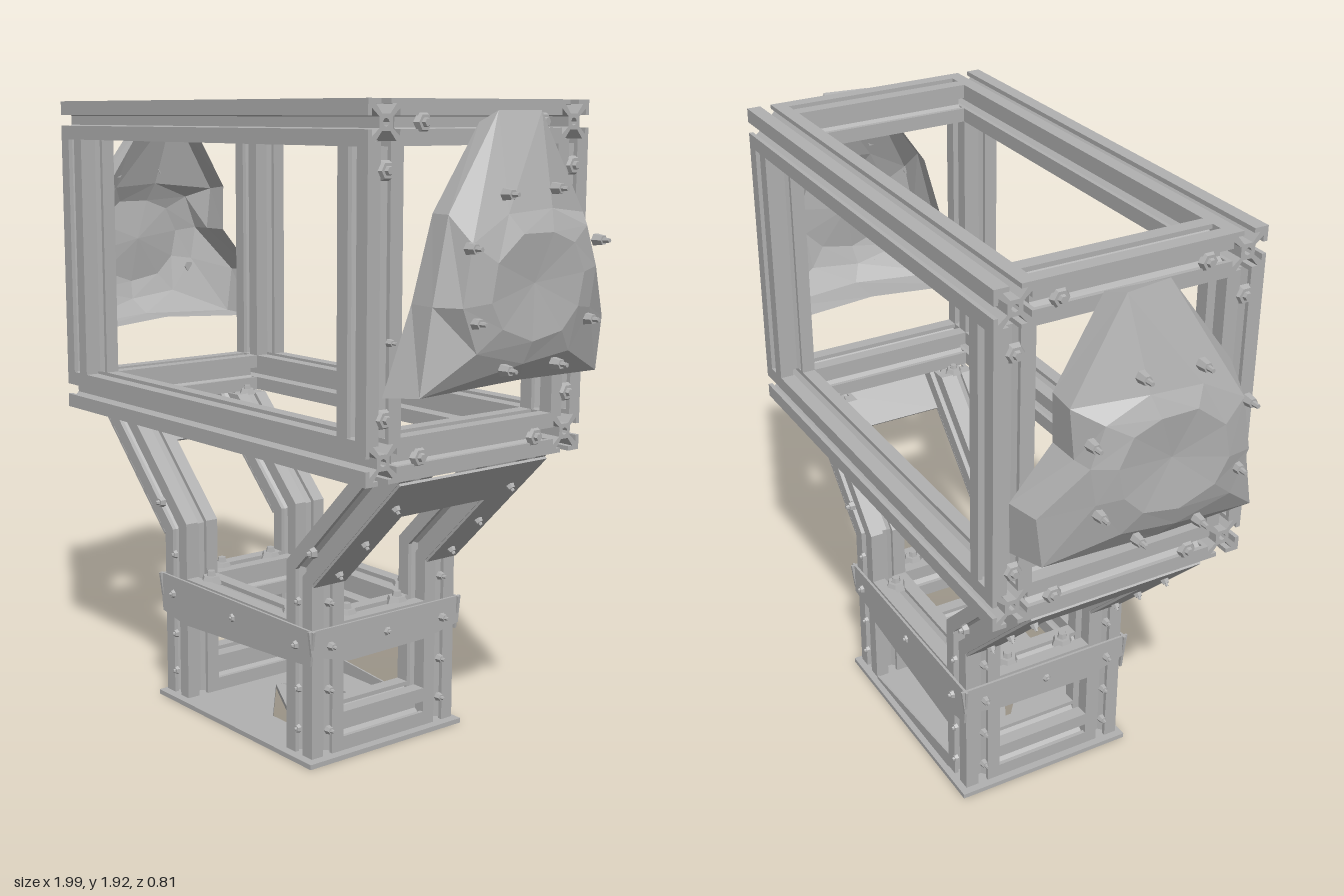
import * as THREE from 'three';

const metal = new THREE.MeshStandardMaterial({ color: 0xb0b0b0, side: THREE.DoubleSide });
metal.name = 'brushed grey metal';

// Slotted square profile, 0.12 wide, one side repeated four times
function slotProfile() {
  const side = [[.06, -.06], [.06, -.017], [.047, -.017], [.047, -.035], [.022, -.014],
    [.022, .014], [.047, .035], [.047, .017], [.06, .017]];
  const pts = [];
  for (let q = 0; q < 4; q++) {
    const c = [1, 0, -1, 0][q], s = [0, 1, 0, -1][q];
    side.forEach(([x, y]) => pts.push(new THREE.Vector2(x * c - y * s, x * s + y * c)));
  }
  const shape = new THREE.Shape(pts);
  shape.holes.push(new THREE.Path().absarc(0, 0, .011, 0, Math.PI * 2, true));
  return shape;
}
const profile = slotProfile();

function add(parent, geo, name) {
  const m = new THREE.Mesh(geo, metal);
  m.name = name;
  parent.add(m);
  return m;
}

// Moves every vertex by a rule returning [x, y, z]
function bend(geo, rule) {
  const p = geo.attributes.position;
  for (let i = 0; i < p.count; i++) p.setXYZ(i, ...rule(p.getX(i), p.getY(i), p.getZ(i)));
  geo.computeVertexNormals();
  return geo;
}

// Straight slotted beam centred on a point
function beam(parent, axis, length, x, y, z, name) {
  const geo = new THREE.ExtrudeGeometry(profile, { depth: length, bevelEnabled: false, curveSegments: 4 });
  geo.translate(0, 0, -length / 2);
  if (axis === 'x') geo.rotateY(Math.PI / 2);
  if (axis === 'y') geo.rotateX(Math.PI / 2);
  add(parent, geo, name).position.set(x, y, z);
}

// Flat plate from outline points, with optional holes
function plateGeo(points, depth, holes = []) {
  const vec = a => a.map(([x, y]) => new THREE.Vector2(x, y));
  const shape = new THREE.Shape(vec(points));
  holes.forEach(h => shape.holes.push(new THREE.Path(vec(h))));
  return new THREE.ExtrudeGeometry(shape, { depth, bevelEnabled: false });
}

// Hex bolt: wide washer head and narrow tip
const UP = new THREE.Vector3(0, 1, 0);
function bolt(parent, pos, dir, r = .016, len = .022) {
  const g = new THREE.Group();
  g.name = 'bolt';
  const head = new THREE.CylinderGeometry(r * .75, r, len * .6, 6);
  const tip = new THREE.CylinderGeometry(r * .35, r * .45, len * .4, 6);
  add(g, head.toNonIndexed(), 'boltHead').position.y = len * .3;
  add(g, tip.toNonIndexed(), 'boltTip').position.y = len * .8;
  g.children.forEach(m => m.geometry.computeVertexNormals());
  g.position.set(...pos);
  g.quaternion.setFromUnitVectors(UP, new THREE.Vector3(...dir).normalize());
  parent.add(g);
}

// Faceted housing on the +x end, lofted through rings of [x, y, z]
function housing() {
  const rings = [
    [[.77, 1.16, .36], [.79, 1.4, .28], [.80, 1.63, .22], [.80, 1.86, .06], [.80, 1.87, -.12],
      [.80, 1.63, -.26], [.79, 1.48, -.25], [.78, 1.33, -.37], [.77, 1.17, -.36], [.78, 1.19, 0]],
    [[.88, 1.17, .33], [.88, 1.4, .29], [.87, 1.63, .23], [.85, 1.89, .04], [.87, 1.89, -.1],
      [.88, 1.62, -.26], [.89, 1.48, -.25], [.88, 1.33, -.35], [.88, 1.18, -.33], [.91, 1.19, 0]],
    [[.95, 1.28, .2], [.95, 1.4, .25], [.95, 1.56, .22], [.945, 1.63, .09], [.945, 1.64, -.07],
      [.95, 1.59, -.2], [.95, 1.48, -.24], [.95, 1.37, -.22], [.95, 1.26, -.14], [.95, 1.24, .03]],
    [[.972, 1.34, .13], [.972, 1.41, .17], [.972, 1.51, .15], [.972, 1.58, .06], [.972, 1.58, -.05],
      [.972, 1.55, -.13], [.972, 1.47, -.17], [.972, 1.38, -.15], [.972, 1.32, -.09], [.972, 1.30, .02]],
    Array.from({ length: 10 }, () => [.955, 1.45, 0])
  ];
  const v = [], n = 10;
  for (let r = 0; r < rings.length - 1; r++) {
    for (let i = 0; i < n; i++) {
      const j = (i + 1) % n, a = rings[r], b = rings[r + 1];
      v.push(...a[i], ...b[i], ...a[j]);
      if (r < rings.length - 2) v.push(...a[j], ...b[i], ...b[j]);
    }
  }
  // Wind every triangle so its front looks outward
  for (let k = 0; k < v.length; k += 9) {
    for (let c = 0; c < 3; c++) [v[k + 3 + c], v[k + 6 + c]] = [v[k + 6 + c], v[k + 3 + c]];
  }
  const geo = new THREE.BufferGeometry();
  geo.setAttribute('position', new THREE.Float32BufferAttribute(v, 3));
  geo.computeVertexNormals();
  return geo;
}

// Everything on the +x side, mirrored for the other
function sideAssembly(name) {
  const g = new THREE.Group();
  g.name = name;
  beam(g, 'z', .57, .70, 1.86, 0, 'topCrossBeam');
  beam(g, 'z', .57, .70, .985, 0, 'lowerCrossBeam');
  beam(g, 'z', .32, .32, .36, 0, 'baseCrossBeam');
  beam(g, 'z', .32, .32, .08, 0, 'floorCrossBeam');

  for (const s of [-1, 1]) {
    beam(g, 'y', .755, .70, 1.4225, s * .345, 'upright');

    // Leg: vertical, then mitred outward at 45 degrees
    const leg = new THREE.ExtrudeGeometry(profile, { depth: 2, steps: 2, bevelEnabled: false, curveSegments: 4 });
    bend(leg, (u, w, t) => {
      const yBend = .575 - .414 * u;
      if (t < .5) return [.32 + u, .02, s * .22 - w];
      if (t < 1.5) return [.32 + u, yBend, s * .22 - w];
      return [.32 + u + .925 - yBend, .925, s * .22 - w];
    });
    add(g, leg, 'leg');

    // Leg bolts
    for (const y of [.1, .225, .36, .49]) {
      const out = y === .36 ? .012 : 0;
      bolt(g, [.38 + out, y, s * .22], [1, 0, 0], .014, .03);
      bolt(g, [.32, y, s * (.28 + out)], [0, 0, s], .014, .018);
    }
    bolt(g, [.39, .65, s * .28], [0, 0, s], .018, .028);
    for (const d of [.06, .22, .40]) {
      bolt(g, [.386 + d * .707, .544 + d * .707, s * .22], [1, -1, 0], .014, .022);
    }
    // Corner bolts on the box ends, inside corners and base ring
    for (const y of [.985, 1.86]) bolt(g, [.755, y, s * .22], [1, 0, 0], .03, .025);
    for (const y of [1.10, 1.74]) bolt(g, [.755, y, s * .345], [1, 0, 0], .03, .025);
    bolt(g, [.21, .41, s * .22], [0, 1, 0], .036, .04);
    bolt(g, [.32, .41, s * .1], [0, 1, 0], .036, .04);
    bolt(g, [.61, .92, s * .22], [0, 1, 0], .03, .03);
  }

  // Slanted gusset under the legs
  const gusset = plateGeo([[-.28, 0], [-.16, 0], [-.16, .34], [.16, .34], [.16, 0], [.28, 0],
    [.28, .52], [-.28, .52]], .008);
  bend(gusset, (a, b, c) => [.381 + (b + c) * .707, .55 + (b - c) * .707, -a]);
  add(g, gusset, 'legGusset');

  // Side band around the base
  const band = plateGeo([[-.3, .415], [-.29, .34], [-.15, .3], [.15, .305], [.29, .33], [.3, .415]], .008);
  band.rotateY(Math.PI / 2);
  add(g, band, 'sideBand').position.x = .384;
  bolt(g, [.392, .36, 0], [1, 0, 0], .014, .015);

  // Housing with its ring of bolts
  add(g, housing(), 'endHousing');
  [[1.55, .23], [1.68, .09], [1.69, -.09], [1.55, -.24], [1.36, .21], [1.34, -.21], [1.23, .1], [1.23, -.09]]
    .forEach(([y, z]) => bolt(g, [y > 1.6 ? .93 : .945, y, z], [1, 0, 0], .018, .05));
  for (const s of [-1, 1]) bolt(g, [.76, 1.3, s * .33], [1, 0, 0], .012, .03);
  return g;
}

export function createModel() {
  const model = new THREE.Group();
  model.name = 'beamFrameStand';

  const left = sideAssembly('leftSide');
  const right = sideAssembly('rightSide');
  right.scale.x = -1;
  model.add(left, right);

  // Long beams of the box and the base ring
  for (const s of [-1, 1]) {
    for (const y of [.985, 1.86]) beam(model, 'x', 1.52, 0, y, s * .345, 'longBeam');
    beam(model, 'x', .52, 0, .36, s * .22, 'baseLongBeam');

    // Front and back bands with a slightly sagging lower edge
    const band = plateGeo([[-.4, .415], [-.385, .29], [-.26, .27], [.26, .3], [.385, .31], [.4, .415]], .008);
    add(model, band, 'longBand').position.z = s > 0 ? .282 : -.29;
    bolt(model, [0, .36, s * .29], [0, 0, s], .014, .012);
  }

  // Loose inner sheet hanging below the back band
  const sheet = plateGeo([[-.26, .2], [.26, .255], [.26, .31], [-.26, .31]], .006);
  add(model, sheet, 'innerSheet').position.z = -.28;

  // Floor plate with two pointed cut-outs
  const floor = plateGeo([[-.4, -.3], [.4, -.3], [.4, .3], [-.4, .3]], .015, [
    [[-.2, .03], [.02, -.15], [.14, -.15]],
    [[-.2, .045], [.14, .165], [-.02, .165]]
  ]);
  floor.rotateX(-Math.PI / 2);
  add(model, floor, 'floorPlate');

  // Thin curb rising along the back of the floor
  const curb = plateGeo([[-.26, .01], [.26, .01], [.26, .025], [-.26, .07]], .006);
  add(model, curb, 'floorCurb').position.z = -.28;

  return model;
}
